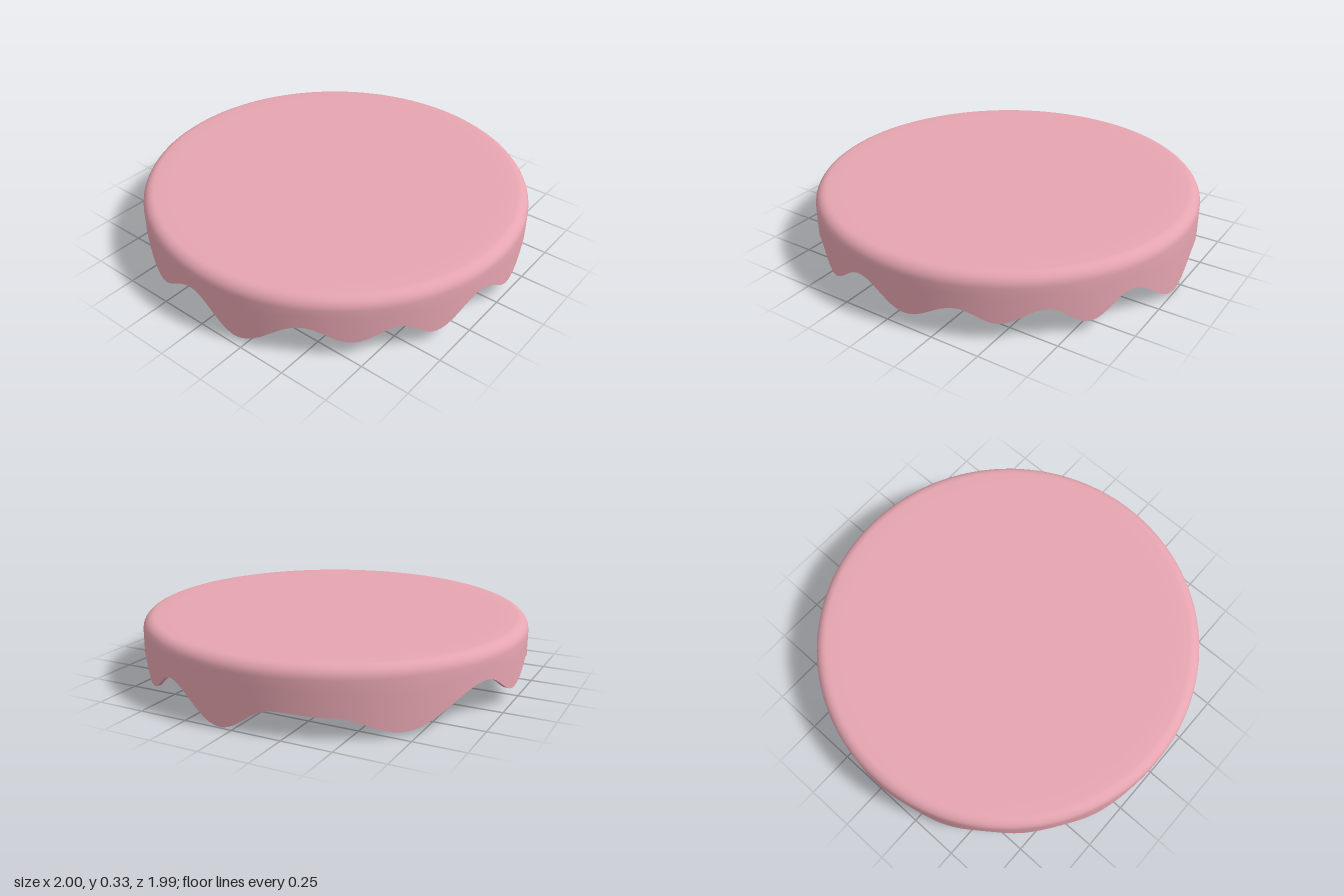
import * as THREE from 'three';
import { toCreasedNormals } from 'three/addons/utils/BufferGeometryUtils.js';

const SEGMENTS = 240;
const TOP = 0.328;
const WALL = 0.02;
const ROUND = 0.06;

// Crests and drips of the hem: [degrees from front (+z) towards +x, height]
const HEM = [
  [-3, 0.185], [12, 0.02], [30, 0.165], [43, 0.087], [55, 0.15], [66, 0.06],
  [81, 0.18], [96, 0.07], [110, 0.152], [121, 0.088], [133, 0.155], [145, 0.055],
  [157, 0.155], [176, 0], [191, 0.115], [206, 0.1], [224, 0.02], [250, 0.18],
  [265, 0.072], [281, 0.168], [293, 0.08], [306, 0.168], [316, 0.12],
  [326, 0.145], [340, 0.06], [357, 0.185],
];

// Smooth wave running through the crests and drips
function hemHeight(deg) {
  const d = deg > 357 ? deg - 360 : deg;
  const i = HEM.findIndex((p, k) => k > 0 && d <= p[0]);
  const [a, ya] = HEM[i - 1];
  const [b, yb] = HEM[i];
  const t = (1 - Math.cos(Math.PI * (d - a) / (b - a))) / 2;
  return ya + (yb - ya) * t;
}

// Cross-section [radius, height] from top centre, over the rim, down to the hem
// and back up the inside to the underside centre
function section(hem) {
  const pts = [[0, TOP], [0.5, TOP], [0.85, TOP]];
  for (let i = 0; i <= 6; i++) {
    const a = (i / 6) * Math.PI / 2;
    pts.push([1 - ROUND + ROUND * Math.sin(a), TOP - ROUND + ROUND * Math.cos(a)]);
  }
  const shoulder = TOP - ROUND;
  for (const t of [0.33, 0.67, 1]) pts.push([1, shoulder + (hem - shoulder) * t]);
  const inner = 1 - WALL;
  const under = TOP - WALL;
  for (const t of [0, 0.5, 1]) pts.push([inner, hem + (under - hem) * t]);
  pts.push([0.5, under], [0, under]);
  return pts;
}

function icingGeometry() {
  const positions = [];
  const index = [];
  const rows = section(0).length;
  for (let s = 0; s < SEGMENTS; s++) {
    const deg = (s / SEGMENTS) * 360;
    const a = THREE.MathUtils.degToRad(deg);
    for (const [r, y] of section(hemHeight(deg))) {
      positions.push(r * Math.sin(a), y, r * Math.cos(a) * 0.993);
    }
    const here = s * rows;
    const next = ((s + 1) % SEGMENTS) * rows;
    for (let j = 0; j < rows - 1; j++) {
      const p = here + j, q = next + j;
      if (j < rows - 2) index.push(p, p + 1, q + 1);
      else index.push(p, p + 1, q);
      if (j > 0 && j < rows - 2) index.push(p, q + 1, q);
    }
  }
  const geometry = new THREE.BufferGeometry();
  geometry.setAttribute('position', new THREE.Float32BufferAttribute(positions, 3));
  geometry.setIndex(index);
  return toCreasedNormals(geometry, Math.PI / 4);
}

export function createModel() {
  const model = new THREE.Group();
  model.name = 'icingTopping';

  // Thin round icing shell with a dripping hem
  const icing = new THREE.Mesh(
    icingGeometry(),
    new THREE.MeshStandardMaterial({ color: 0xe6a5b0, side: THREE.DoubleSide }),
  );
  icing.name = 'icing';
  model.add(icing);
  return model;
}
